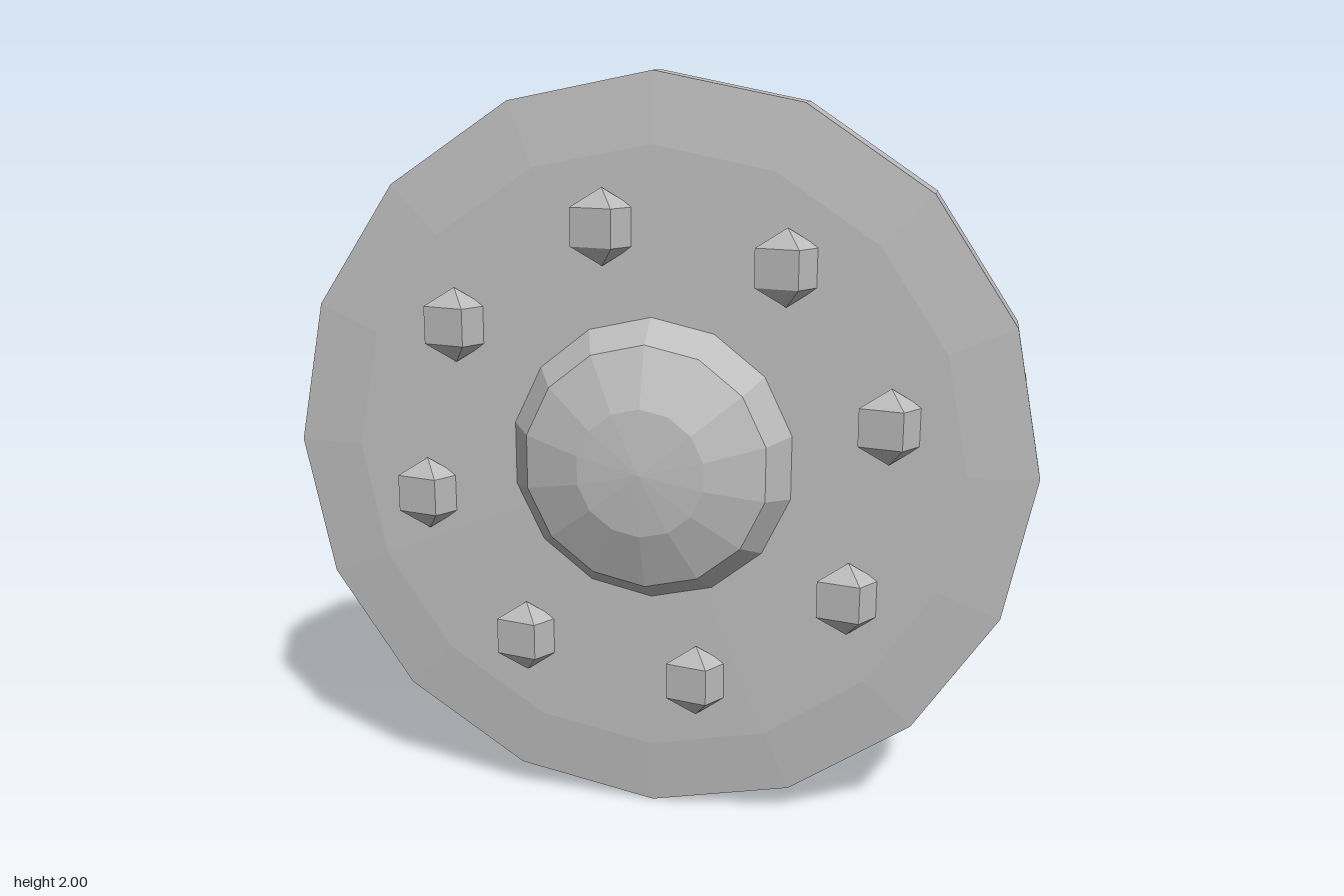
import * as THREE from 'three';

const metal = new THREE.MeshStandardMaterial({ color: 0xbcbcbc, flatShading: true });
metal.name = 'grey metal';

// Faceted solid of revolution facing +z, from [radius, depth] pairs, back to front
function turned(name, profile, sides) {
  const points = profile.map(([r, z]) => new THREE.Vector2(r, z));
  const geometry = new THREE.LatheGeometry(points, sides).rotateX(Math.PI / 2);
  const mesh = new THREE.Mesh(geometry, metal);
  mesh.name = name;
  mesh.position.y = 1;
  return mesh;
}

export function createModel() {
  const shield = new THREE.Group();
  shield.name = 'roundShield';

  // Disc with flat back and bevelled front rim
  shield.add(turned('disc', [[0, -0.095], [1, -0.095], [1, 0.02], [0.82, 0.038], [0, 0.045]], 16));

  // Central dome
  shield.add(turned('boss', [[0.39, 0.03], [0.325, 0.125], [0.17, 0.183], [0, 0.2]], 14));

  // Ring of squashed four-sided studs, all turned the same way
  const studGeometry = new THREE.SphereGeometry(0.1, 4, 3)
    .rotateY(THREE.MathUtils.degToRad(24))
    .scale(1, 1, 0.6);
  const studs = new THREE.Group();
  studs.name = 'studs';
  for (let i = 0; i < 8; i++) {
    const angle = THREE.MathUtils.degToRad(11.5 + i * 45);
    const stud = new THREE.Mesh(studGeometry, metal);
    stud.name = 'stud';
    stud.position.set(0.635 * Math.cos(angle), 1 + 0.625 * Math.sin(angle), 0.053);
    studs.add(stud);
  }
  shield.add(studs);

  // Grip bar behind the disc
  const grip = new THREE.Mesh(new THREE.BoxGeometry(1.91, 0.1, 0.08), metal);
  grip.name = 'grip';
  grip.position.set(0, 1.18, -0.16);
  shield.add(grip);

  return shield;
}
